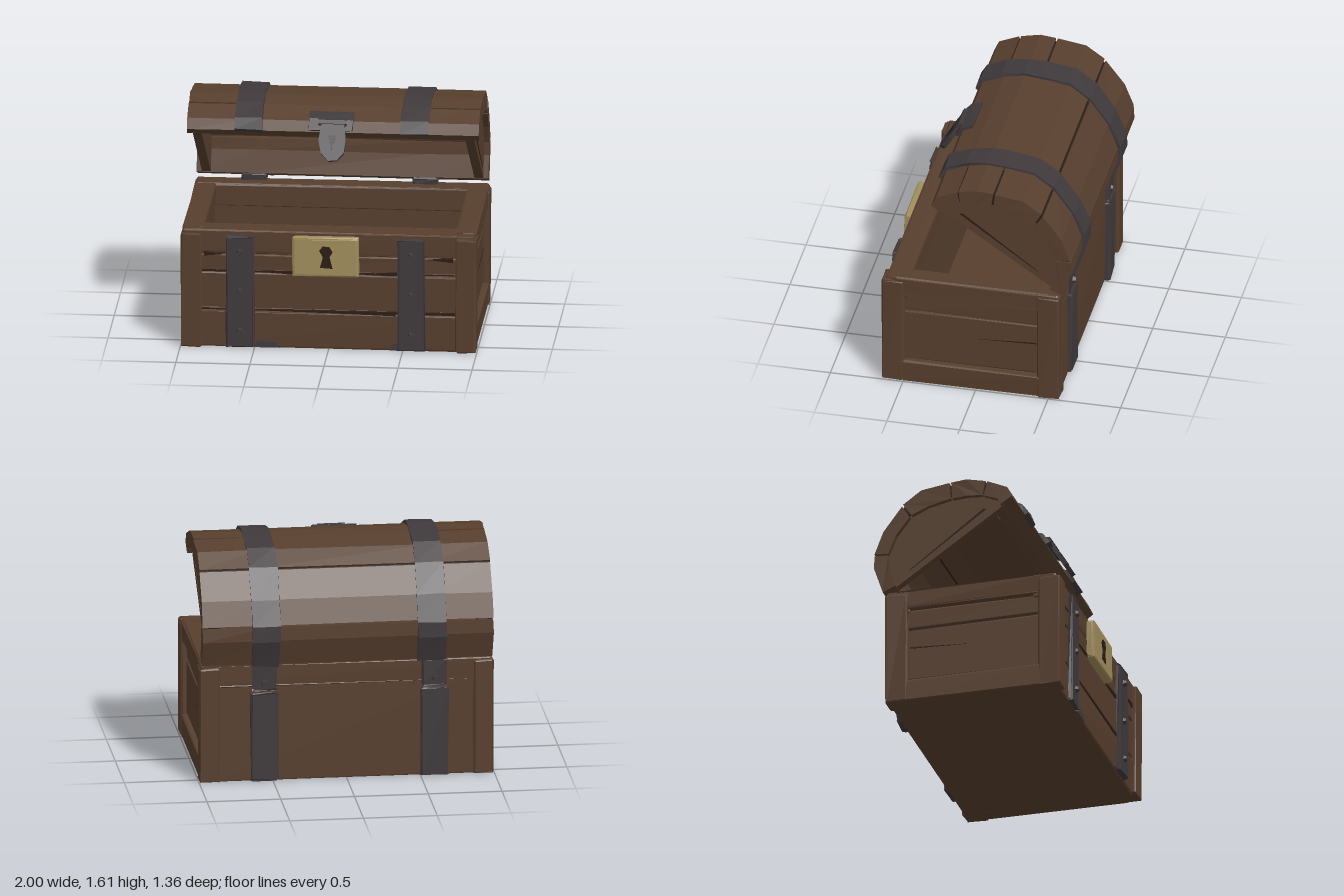
import * as THREE from 'three';
import { RoundedBoxGeometry } from 'three/addons/geometries/RoundedBoxGeometry.js';

const paint = (name, color) => {
  const m = new THREE.MeshStandardMaterial({ color, flatShading: true });
  m.name = name;
  return m;
};

// lid cross-section as [z, y], from the front lip over the top to the hinge
const OUTER = [[0.31, 1.43], [0.275, 1.5], [0.13, 1.563], [-0.01, 1.588], [-0.12, 1.58], [-0.325, 1.552],
  [-0.455, 1.457], [-0.588, 1.277], [-0.652, 1.11], [-0.658, 1.01], [-0.595, 0.83]];
const INNER = [[0.23, 1.375], [0.21, 1.42], [0.11, 1.46], [0, 1.47], [-0.11, 1.465], [-0.28, 1.43],
  [-0.4, 1.37], [-0.5, 1.24], [-0.56, 1.105], [-0.55, 1.02], [-0.505, 0.87]];

const mix = (a, b, t) => [a[0] + (b[0] - a[0]) * t, a[1] + (b[1] - a[1]) * t];
const grow = (k) => OUTER.map(([z, y]) => [-0.2 + (z + 0.2) * k, 1.15 + (y - 1.15) * k]);

// hand-hewn wobble: coincident corners always move together
function hew(geo, amount) {
  const p = geo.attributes.position;
  const q = (v) => Math.round(v * 500 + 0.137);
  const noise = (a, b, c) => {
    const s = Math.sin(a * 12.9898 + b * 78.233 + c * 37.719) * 43758.5453;
    return (s - Math.floor(s) - 0.5) * 2 * amount;
  };
  for (let i = 0; i < p.count; i++) {
    const a = q(p.getX(i)), b = q(p.getY(i)), c = q(p.getZ(i));
    p.setXYZ(i, p.getX(i) + noise(a, b, c), Math.max(0, p.getY(i) + noise(b, c, a)), p.getZ(i) + noise(c, a, b));
  }
  geo.computeVertexNormals();
  return geo;
}

export function createModel() {
  const model = new THREE.Group();
  const wood = paint('brown wood', 0x573f2e);
  const dark = paint('dark crack wood', 0x2b1d15);
  const iron = paint('dark iron', 0x3f393b);
  const brass = paint('dull brass', 0xa08d5c);

  const add = (name, geo, mat, parent) => {
    const mesh = new THREE.Mesh(geo, mat);
    mesh.name = name;
    parent.add(mesh);
    return mesh;
  };
  const group = (name) => {
    const g = new THREE.Group();
    g.name = name;
    model.add(g);
    return g;
  };
  // chamfered block between two corners
  const block = (name, [x0, x1], [y0, y1], [z0, z1], mat, parent, wobble = 0.007, bevel = 0.012) => {
    const geo = new RoundedBoxGeometry(x1 - x0, y1 - y0, z1 - z0, 1, bevel);
    geo.translate((x0 + x1) / 2, (y0 + y1) / 2, (z0 + z1) / 2);
    return add(name, hew(geo, wobble), mat, parent);
  };
  // [z, y] polygon swept along x
  const prism = (name, pts, x0, x1, mat, parent, wobble = 0) => {
    const shape = new THREE.Shape(pts.map(([z, y]) => new THREE.Vector2(-z, y)));
    const geo = new THREE.ExtrudeGeometry(shape, { depth: x1 - x0, bevelEnabled: false });
    geo.rotateY(Math.PI / 2).translate(x0, 0, 0);
    return add(name, hew(geo, wobble), mat, parent);
  };
  // thin [x, y] plate facing +z
  const plate = (name, pts, z, depth, mat, parent) => {
    const geo = new THREE.ExtrudeGeometry(new THREE.Shape(pts.map(([x, y]) => new THREE.Vector2(x, y))),
      { depth, bevelEnabled: false });
    return add(name, geo.translate(0, 0, z), mat, parent);
  };

  // ---- base ----
  const base = group('base');
  block('floor', [-0.95, 0.95], [0.002, 0.06], [-0.54, 0.61], wood, base, 0);
  block('frontCore', [-0.9, 0.9], [0.02, 0.78], [0.48, 0.6], dark, base, 0);
  block('frontLining', [-0.87, 0.87], [0.05, 0.7], [0.465, 0.5], wood, base, 0);
  for (const [y0, y1] of [[0, 0.253], [0.266, 0.527], [0.538, 0.655], [0.662, 0.82]]) {
    const w = y1 > 0.8 ? 0.985 : 0.88;
    block('frontPlank', [-w, w], [y0, y1], [y1 > 0.8 ? 0.455 : 0.53, 0.62], wood, base, 0.005);
  }
  block('backWall', [-0.88, 0.88], [0, 0.7], [-0.56, -0.42], wood, base, 0.004);
  block('backRail', [-0.985, 0.985], [0.66, 0.82], [-0.565, -0.41], wood, base, 0.005);
  for (const s of [-1, 1]) {
    const span = (a, b) => (s > 0 ? [a, b] : [-b, -a]);
    block('frontPost', span(0.86, 0.995), [0, 0.8], [0.495, 0.648], wood, base, 0.005);
    block('backPost', span(0.86, 0.995), [0, 0.8], [-0.575, -0.425], wood, base, 0.005);
    block('sideTopRail', span(0.85, 0.99), [0.685, 0.82], [-0.5, 0.56], wood, base, 0.005);
    block('sideBottomRail', span(0.86, 0.99), [0, 0.16], [-0.5, 0.56], wood, base, 0.005);
    block('sideCore', span(0.87, 0.93), [0.1, 0.72], [-0.48, 0.55], dark, base, 0);
    block('sideLining', span(0.855, 0.89), [0.05, 0.72], [-0.45, 0.5], wood, base, 0);
    for (const y of [[0.166, 0.54], [0.553, 0.68]]) {
      block('sidePanelPlank', span(0.9, 0.955), y, [-0.44, 0.51], wood, base, 0.004, 0.008);
    }
    const [x0, x1] = span(0.95, 0.959);
    prism('sideCrack', [[0, 0.385], [-0.41, 0.4], [-0.41, 0.41], [-0.2, 0.397]], x0, x1, dark, base);
  }

  // cracks in the front boards
  for (const pts of [
    [[-0.45, 0.262], [0.02, 0.255], [0.45, 0.245], [0.45, 0.272], [-0.1, 0.268]],
    [[-0.45, 0.535], [-0.24, 0.52], [-0.24, 0.545]],
    [[0.2, 0.535], [0.46, 0.525], [0.46, 0.555]],
    [[0.66, 0.65], [0.84, 0.63], [0.84, 0.665]],
    [[-0.84, 0.64], [-0.7, 0.655], [-0.84, 0.67]],
  ]) plate('frontCrack', pts, 0.62, 0.005, dark, base);

  // ---- base straps with rivets ----
  const straps = group('baseStraps');
  for (const [x0, x1] of [[-0.69, -0.505], [0.465, 0.65]]) {
    const xm = (x0 + x1) / 2;
    block('frontStrap', [x0, x1], [0.005, 0.79], [0.6, 0.648], iron, straps, 0.008, 0.01);
    block('backStrapLower', [x0, x1], [0.005, 0.62], [-0.588, -0.54], iron, straps, 0.008, 0.01);
    block('backStrapUpper', [x0 + 0.01, x1 - 0.01], [0.635, 0.82], [-0.58, -0.54], iron, straps, 0.008, 0.01);
    block('hingePlate', [x0 + 0.01, x1 - 0.01], [0.81, 0.865], [-0.585, -0.5], iron, straps, 0.006, 0.01);
    for (const [y, z] of [[0.12, 0.654], [0.4, 0.65], [0.68, 0.654], [0.69, -0.582]]) {
      const geo = new THREE.CylinderGeometry(0.018, 0.028, 0.03, 5).rotateX(Math.PI / 2 * Math.sign(z));
      add('rivet', geo.translate(xm, y, z), iron, straps);
    }
  }
  // worn iron scraps along the lower front edge
  for (const pts of [[[-0.5, 0.003], [-0.33, 0.003], [-0.36, 0.04], [-0.48, 0.05]],
    [[0.41, 0.003], [0.48, 0.003], [0.48, 0.06], [0.44, 0.05]]]) {
    plate('ironScrap', pts, 0.62, 0.008, iron, straps);
  }

  // ---- lock ----
  const lock = group('lock');
  block('lockPlate', [-0.245, 0.205], [0.52, 0.8], [0.6, 0.672], brass, lock, 0.004, 0.018);
  plate('keyhole', [[-0.055, 0.59], [0.03, 0.585], [0.01, 0.665], [0.03, 0.7], [0.01, 0.735],
    [-0.035, 0.74], [-0.06, 0.71], [-0.035, 0.665]], 0.668, 0.008, dark, lock);

  // ---- lid: curved planks, split finer outside the straps, with an open slit near the hinge ----
  const lid = group('lid');
  const fine = [[0, 2], [2, 4], [4, 6], [6, 8], [8, 10]];
  const broad = [[0, 6], [6, 8], [8, 10]];
  for (const [x0, x1, cuts] of [[-0.985, -0.58, fine], [-0.58, 0.56, broad], [0.56, 0.985, fine]]) {
    for (const [a, b] of cuts) {
      const arc = (list) => {
        const pts = list.slice(a, b + 1);
        const last = pts.length - 1;
        const first = a > 0 ? mix(pts[0], pts[1], 0.05) : pts[0];
        const end = b < 10 ? mix(pts[last], pts[last - 1], 0.04) : pts[last];
        return [first, ...pts.slice(1, last), end];
      };
      prism('lidPlank', [...arc(OUTER), ...arc(INNER).reverse()], x0, x1, wood, lid, 0.003);
    }
  }
  // dark backing behind the closed seams, carried past the slit at both ends
  const layer = (t, end) => OUTER.slice(1, end).map((p, i) => mix(p, INNER[i + 1], t));
  for (const [x0, x1, end] of [[-0.975, -0.87, 10], [-0.87, 0.87, 8], [0.87, 0.975, 10]]) {
    prism('lidBacking', [...layer(0.15, end), ...layer(0.8, end).reverse()], x0, x1, dark, lid);
  }
  for (const s of [-1, 1]) {
    const x = s > 0 ? 0.89 : -0.95;
    const rim = INNER.map((p, i) => mix(p, OUTER[i], 0.2));
    prism('lidEndPanel', rim, x, x + 0.06, wood, lid);
    const cx = s > 0 ? 0.948 : -0.953;
    prism('lidEndCrack', [[0.12, 1.37], [-0.42, 0.98], [-0.4, 1.0], [0.1, 1.375]], cx, cx + 0.005, dark, lid);
  }

  // ---- lid straps ----
  for (const [x0, x1] of [[-0.665, -0.475], [0.46, 0.65]]) {
    prism('lidStrap', [...grow(1.04), ...grow(0.97).reverse()], x0, x1, iron, lid, 0.006);
  }

  // ---- hasp: mounting plate, knuckle and hanging tongue ----
  const hasp = group('hasp');
  prism('haspPlate', [[0.335, 1.45], [0.29, 1.52], [0.21, 1.55], [0.21, 1.52], [0.27, 1.49], [0.31, 1.44]],
    -0.16, 0.135, iron, hasp, 0.005);
  const knuckle = new THREE.CylinderGeometry(0.026, 0.026, 0.19, 6).rotateZ(Math.PI / 2);
  add('haspKnuckle', knuckle.translate(0, 1.5, 0.305), iron, hasp);
  const tongue = plate('haspTongue', [[-0.07, 0], [-0.09, -0.13], [-0.07, -0.22], [-0.02, -0.275],
    [0.04, -0.27], [0.085, -0.22], [0.095, -0.13], [0.08, 0]], -0.015, 0.03, iron, hasp);
  const slot = plate('haspSlot', [[-0.025, -0.1], [0, -0.2], [0.03, -0.1]], 0.014, 0.005, dark, hasp);
  for (const m of [tongue, slot]) {
    m.position.set(0, 1.505, 0.305);
    m.rotation.x = -0.55;
  }
  return model;
}
